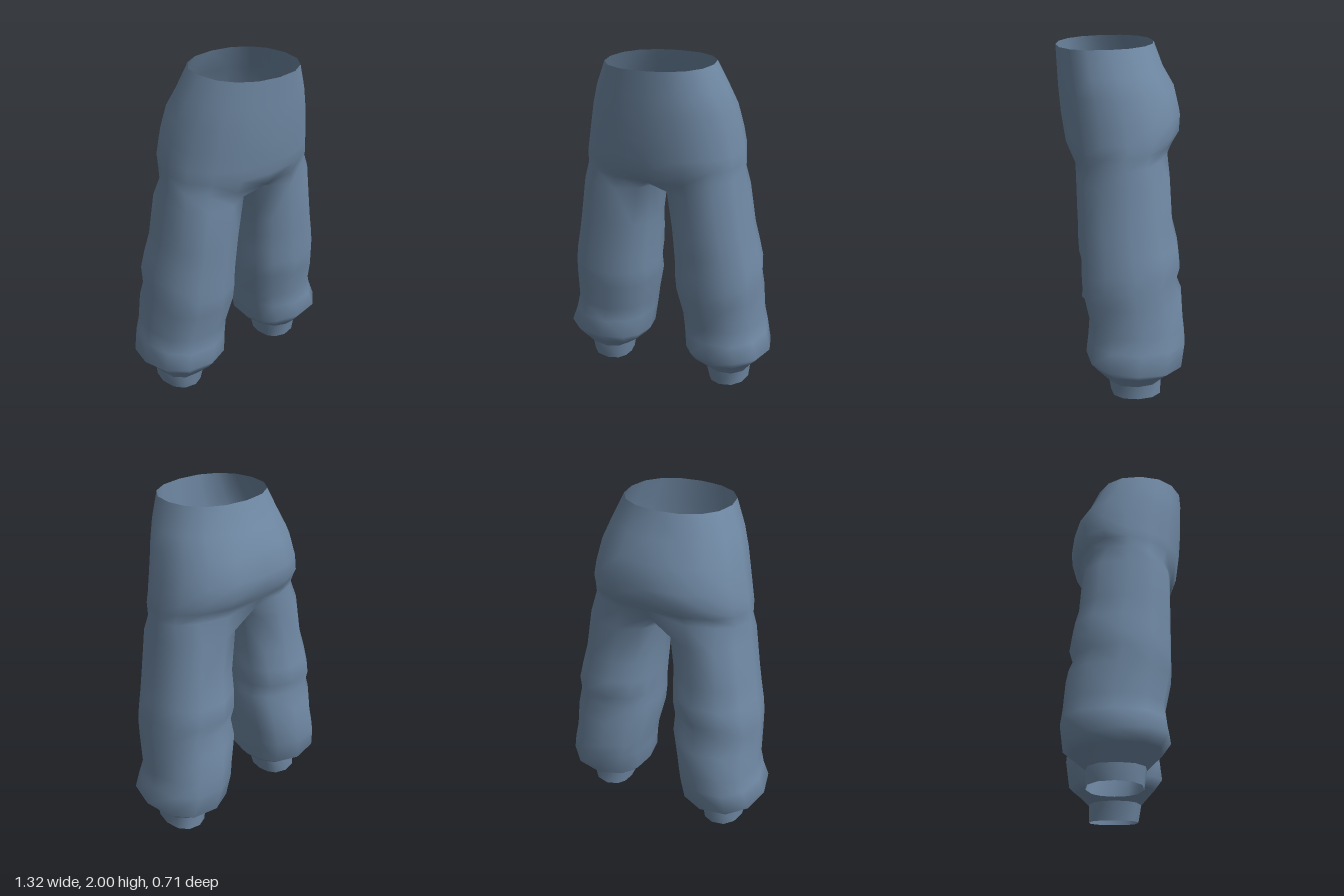
import * as THREE from 'three';
import { mergeGeometries, mergeVertices } from 'three/addons/utils/BufferGeometryUtils.js';

const OUTER = 8; // segments round the outside of one half
const INNER = 4; // segments along the inside of a leg
const AROUND = OUTER + INNER;
const rad = THREE.MathUtils.degToRad;
const soft = (v, p) => Math.sign(v) * Math.abs(v) ** p;

// Hip half-rings: front y, back y, half width, front z, back z
const hips = [
  [1.985, 2.0, 0.305, 0.36, -0.185],
  [1.85, 1.86, 0.37, 0.355, -0.24],
  [1.74, 1.75, 0.41, 0.35, -0.305],
  [1.61, 1.62, 0.442, 0.34, -0.338],
  [1.5, 1.53, 0.465, 0.325, -0.332],
  [1.43, 1.47, 0.475, 0.315, -0.295],
  [1.355, 1.41, 0.48, 0.285, -0.265],
];

// Leg rings: y, inner x, outer x, front z, back z, sideways tilt, forward tilt
const legs = [
  [1.28, 0.022, 0.497, 0.26, -0.262, 0, 0],
  [1.04, 0.055, 0.535, 0.255, -0.275, 0, 0],
  [0.92, 0.062, 0.56, 0.253, -0.305, 0, 0],
  [0.81, 0.068, 0.585, 0.25, -0.318, 0, 0],
  [0.72, 0.072, 0.592, 0.25, -0.292, 0, 0],
  [0.62, 0.076, 0.598, 0.246, -0.332, 0, 0],
  [0.45, 0.112, 0.607, 0.21, -0.342, 0, 0],
  [0.36, 0.125, 0.627, 0.218, -0.352, 0, 0],
  [0.235, 0.14, 0.66, 0.232, -0.33, 0.015, 0.025],
  [0.185, 0.175, 0.605, 0.185, -0.285, 0.01, 0.01],
  [0.11, 0.262, 0.54, 0.105, -0.21, 0, 0],
];
const cuffs = [legs[legs.length - 1], [0.011, 0.285, 0.53, 0.088, -0.208, 0.011, 0]];

function hipRow([yF, yB, w, zF, zB]) {
  return Array.from({ length: OUTER + 1 }, (_, j) => {
    const a = (Math.PI * j) / OUTER;
    const c = Math.cos(a);
    const x = j % OUTER ? w * soft(Math.sin(a), 0.9) : 0;
    return [x, (yF + yB) / 2 + (c * (yF - yB)) / 2, (zF + zB) / 2 + (soft(c, 0.9) * (zF - zB)) / 2];
  });
}

function legRow([y, xIn, xOut, zF, zB, tiltX, tiltZ]) {
  return Array.from({ length: AROUND }, (_, j) => {
    const a = rad(j <= OUTER ? -40 + (260 * j) / OUTER : 220 + (100 * (j - OUTER)) / INNER);
    const s = Math.sin(a), c = Math.cos(a);
    return [
      (xIn + xOut) / 2 + (soft(s, 0.9) * (xOut - xIn)) / 2,
      y + tiltX * s + tiltZ * c,
      (zF + zB) / 2 + (soft(c, 0.9) * (zF - zB)) / 2,
    ];
  });
}

// Skin between successive rows, either open or closed round
function loft(rows, closed, flip) {
  const n = rows[0].length;
  const index = [];
  for (let i = 0; i < rows.length - 1; i++) {
    for (let j = 0; j < (closed ? n : n - 1); j++) {
      const k = (j + 1) % n;
      const a = i * n + j, b = i * n + k, c = a + n, d = b + n;
      index.push(...(flip ? [a, b, c, b, d, c] : [a, c, b, b, c, d]));
    }
  }
  const g = new THREE.BufferGeometry();
  const points = rows.flat().flatMap(([x, y, z]) => [flip ? -x : x, y, z]);
  g.setAttribute('position', new THREE.Float32BufferAttribute(points, 3));
  g.setIndex(index);
  return g;
}

function weld(parts) {
  const g = mergeVertices(mergeGeometries(parts), 1e-4);
  g.computeVertexNormals();
  return g;
}

export function createModel() {
  const model = new THREE.Group();
  model.name = 'trousers';
  const cloth = new THREE.MeshStandardMaterial({ color: 0x6f88a3, side: THREE.DoubleSide });
  cloth.name = 'blue cloth';

  // Crotch seam closes each hip half into the top ring of a leg
  const hipRows = hips.map(hipRow);
  const seam = [[0, 1.35, -0.14], [0, 1.325, 0.01], [0, 1.33, 0.15]];
  const legRows = [[...hipRows[hipRows.length - 1], ...seam], ...legs.map(legRow)];

  // Hips and both legs as one smooth surface
  const sides = [false, true];
  const body = new THREE.Mesh(
    weld(sides.flatMap((flip) => [loft(hipRows, false, flip), loft(legRows, true, flip)])),
    cloth,
  );
  body.name = 'hipsAndLegs';
  model.add(body);

  // Open ankle cuffs
  for (const flip of sides) {
    const cuff = new THREE.Mesh(weld([loft(cuffs.map(legRow), true, flip)]), cloth);
    cuff.name = flip ? 'rightCuff' : 'leftCuff';
    model.add(cuff);
  }
  return model;
}
